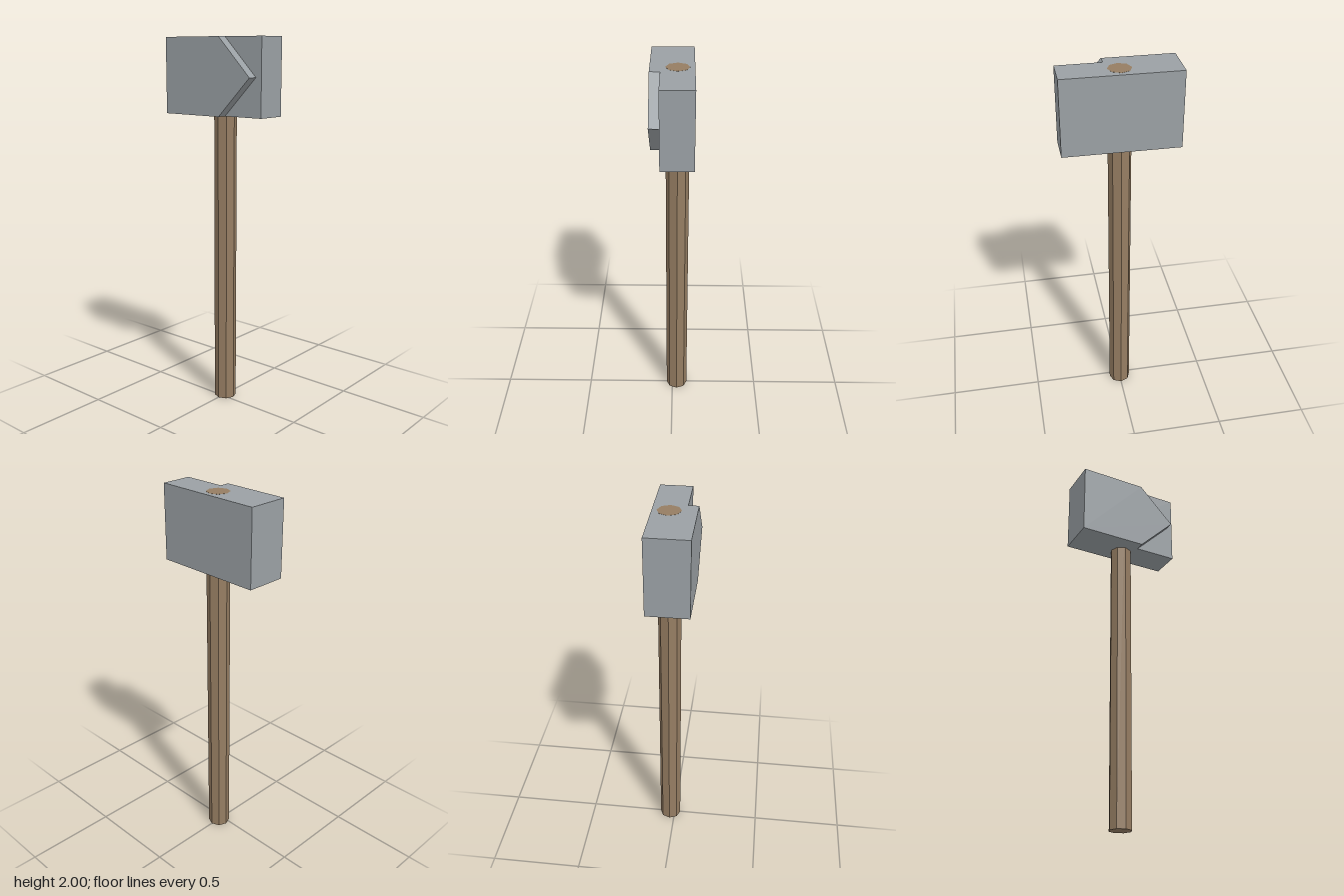
import * as THREE from 'three';

export function createModel() {
  const model = new THREE.Group();
  model.name = 'hammer';
  const metal = new THREE.MeshStandardMaterial({ name: 'greyMetal', color: 0x9aa0a4, flatShading: true });
  const wood = new THREE.MeshStandardMaterial({ name: 'brownWood', color: 0x957d62, flatShading: true });

  const add = (name, geometry, material, x, y, z) => {
    const mesh = new THREE.Mesh(geometry, material);
    mesh.name = name;
    mesh.position.set(x, y, z);
    model.add(mesh);
  };

  // Eight-sided shaft, passing through the head and just showing on top
  add('handle', new THREE.CylinderGeometry(0.06, 0.06, 2, 8), wood, 0, 1.0005, -0.026);

  // Main block of the head
  add('head', new THREE.BoxGeometry(0.6, 0.4, 0.166), metal, 0, 1.8, -0.026);

  // Raised front plate with a pointed end
  const outline = new THREE.Shape([
    [-0.3, -0.2], [0.066, -0.2], [0.266, 0], [0.066, 0.2], [-0.3, 0.2],
  ].map(([x, y]) => new THREE.Vector2(x, y)));
  const plate = new THREE.ExtrudeGeometry(outline, { depth: 0.052, bevelEnabled: false });
  add('pointedPlate', plate, metal, 0, 1.8, 0.057);

  return model;
}
